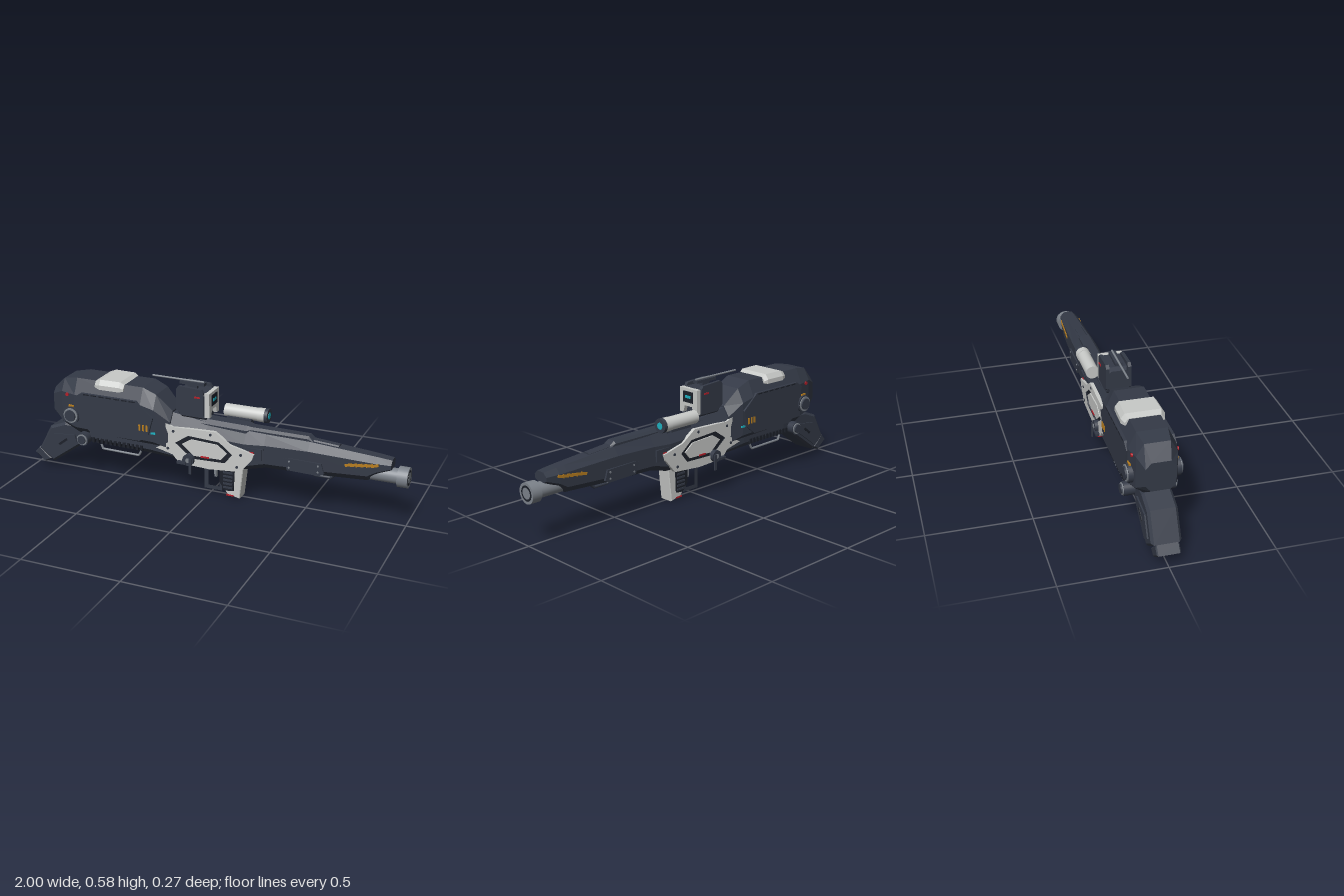
import * as THREE from 'three';

const mat = (name, color) => Object.assign(new THREE.MeshStandardMaterial({ color }), { name });

export function createModel() {
  const dark = mat('dark slate', 0x343a47), black = mat('near black', 0x1d212a);
  const white = mat('pale grey', 0xc8cac8), grey = mat('steel grey', 0x7c828a);
  const red = mat('red', 0xb3202a), orange = mat('amber', 0xb97f20), cyan = mat('cyan', 0x1fb2c2);
  const root = new THREE.Group();
  root.name = 'longRifle';

  const add = (name, geo, m, x = 0, y = 0, z = 0) => {
    const mesh = new THREE.Mesh(geo, m);
    mesh.name = name;
    mesh.position.set(x, y, z);
    root.add(mesh);
    return mesh;
  };
  const box = (name, m, x, y, z, w, h, d) => add(name, new THREE.BoxGeometry(w, h, d), m, x, y, z);
  const both = fn => [1, -1].forEach(fn);

  // Chamfered hull along x; section: [x, top, bottom, half width, chamfer width, top and bottom chamfer height]
  const loft = (name, m, sections) => {
    const rings = sections.map(([x, t, b, h, c, vt, vb]) => {
      const half = [[h - c, t], [h, t - vt], [h, b + vb], [h - c, b]];
      return [...half, ...half.map(([z, y]) => [-z, y]).reverse()].map(([z, y]) => [x, y, z]);
    });
    const pos = [], tri = (...p) => p.forEach(v => pos.push(...v));
    for (let i = 0; i < rings.length - 1; i++) {
      for (let j = 0; j < 8; j++) {
        const k = (j + 1) % 8, a = rings[i], b = rings[i + 1];
        tri(a[j], a[k], b[k]);
        tri(a[j], b[k], b[j]);
      }
    }
    const first = rings[0], last = rings[rings.length - 1];
    for (let j = 1; j < 7; j++) {
      tri(last[0], last[j], last[j + 1]);
      tri(first[0], first[j + 1], first[j]);
    }
    const g = new THREE.BufferGeometry();
    g.setAttribute('position', new THREE.Float32BufferAttribute(pos, 3));
    g.computeVertexNormals();
    return add(name, g, m);
  };

  // Flat outline extruded along z, with an optional hole and bevel
  const outline = (pts, depth, hole, bevel = 0) => {
    const shape = new THREE.Shape(pts.map(p => new THREE.Vector2(...p)));
    if (hole) shape.holes.push(new THREE.Path(hole.map(p => new THREE.Vector2(...p))));
    return new THREE.ExtrudeGeometry(shape, {
      depth, bevelEnabled: bevel > 0, bevelSize: bevel, bevelThickness: bevel, bevelOffset: -bevel, bevelSegments: 1,
    });
  };
  const slab = (name, m, pts, half, hole, bevel = 0) =>
    add(name, outline(pts, 2 * (half - bevel), hole, bevel), m, 0, 0, bevel - half);
  const sidePlates = (name, m, pts, z0, depth, hole) =>
    both(s => add(name, outline(pts, depth, hole), m, 0, 0, s > 0 ? z0 : -z0 - depth));
  const sideBox = (name, m, x, y, z, w, h, d) => both(s => box(name, m, x, y, s * z, w, h, d));
  const barrel = (name, m, x0, x1, r, y, z = 0, r2 = r) => {
    const g = new THREE.CylinderGeometry(r2, r, x1 - x0, 32).rotateZ(-Math.PI / 2);
    return add(name, g, m, (x0 + x1) / 2, y, z);
  };
  const sideDisc = (name, m, x, y, z0, z1, r) => both(s =>
    add(name, new THREE.CylinderGeometry(r, r, z1 - z0, 28).rotateX(Math.PI / 2), m, x, y, s * (z0 + z1) / 2));
  const bar = (name, m, pts, r) => {
    const path = new THREE.CurvePath();
    for (let i = 1; i < pts.length; i++)
      path.add(new THREE.LineCurve3(new THREE.Vector3(...pts[i - 1]), new THREE.Vector3(...pts[i])));
    add(name, new THREE.TubeGeometry(path, 40, r, 8), m);
  };

  // Rear housing, neck and long fore end
  loft('rearHousing', dark, [
    [-0.855, 0.455, 0.31, 0.07, 0.025, 0.03, 0.03], [-0.79, 0.515, 0.265, 0.095, 0.035, 0.06, 0.03],
    [-0.71, 0.53, 0.235, 0.11, 0.038, 0.08, 0.04], [-0.34, 0.53, 0.225, 0.11, 0.038, 0.08, 0.04],
    [-0.27, 0.5, 0.22, 0.105, 0.038, 0.07, 0.04], [-0.19, 0.42, 0.2, 0.082, 0.035, 0.05, 0.03],
  ]);
  loft('receiver', dark, [
    [-0.24, 0.42, 0.19, 0.08, 0.035, 0.06, 0.03], [0, 0.385, 0.165, 0.078, 0.035, 0.06, 0.03],
    [0.2, 0.375, 0.17, 0.075, 0.035, 0.06, 0.03], [0.3, 0.37, 0.195, 0.066, 0.03, 0.05, 0.03],
  ]);
  loft('foreEnd', dark, [
    [0.28, 0.37, 0.195, 0.066, 0.03, 0.05, 0.03], [0.52, 0.365, 0.2, 0.06, 0.028, 0.04, 0.03],
    [0.81, 0.343, 0.215, 0.051, 0.025, 0.028, 0.03], [0.85, 0.34, 0.25, 0.05, 0.025, 0.026, 0.02],
    [0.92, 0.333, 0.285, 0.042, 0.02, 0.02, 0.01],
  ]);
  loft('lowerHousing', dark, [
    [-0.68, 0.26, 0.2, 0.08, 0.02, 0.02, 0.03], [-0.6, 0.27, 0.187, 0.09, 0.03, 0.02, 0.03],
    [-0.3, 0.27, 0.18, 0.088, 0.03, 0.02, 0.03], [-0.1, 0.25, 0.165, 0.075, 0.025, 0.02, 0.02],
  ]);
  loft('topRidge', dark, [
    [-0.05, 0.4, 0.35, 0.05, 0.02, 0.02, 0.01], [0.2, 0.395, 0.35, 0.048, 0.02, 0.02, 0.01],
    [0.22, 0.39, 0.35, 0.035, 0.012, 0.012, 0.01], [0.51, 0.388, 0.35, 0.032, 0.012, 0.012, 0.01],
    [0.54, 0.365, 0.345, 0.03, 0.012, 0.005, 0.01],
  ]);
  loft('foreRidge', dark, [
    [0.53, 0.372, 0.34, 0.022, 0.006, 0.006, 0.01], [0.66, 0.362, 0.33, 0.02, 0.006, 0.006, 0.01],
  ]);
  loft('topCover', white, [
    [-0.6, 0.532, 0.495, 0.092, 0.015, 0.02, 0.005], [-0.57, 0.543, 0.49, 0.103, 0.018, 0.025, 0.005],
    [-0.46, 0.543, 0.49, 0.1, 0.018, 0.025, 0.005], [-0.44, 0.53, 0.495, 0.092, 0.015, 0.02, 0.005],
  ]);

  // Rear side panels and their markings
  sidePlates('sidePanel', dark, [[-0.71, 0.44], [-0.67, 0.467], [-0.36, 0.467], [-0.27, 0.39], [-0.295, 0.3],
    [-0.345, 0.26], [-0.62, 0.26], [-0.68, 0.31]], 0.1, 0.016);
  for (let i = 0; i < 7; i++) sideBox('panelSlot', black, -0.64 + i * 0.043, 0.462, 0.114, 0.03, 0.006, 0.008);
  for (let i = 0; i < 3; i++) sideBox('amberBar', orange, -0.342 + i * 0.02, 0.333, 0.116, 0.01, 0.032, 0.006);
  for (let i = 0; i < 12; i++) sideBox('ventSlot', black, -0.62 + i * 0.025, 0.212, 0.088, 0.013, 0.026, 0.014);
  sideBox('amberMark', orange, -0.73, 0.387, 0.109, 0.03, 0.012, 0.009);
  sideDisc('redLamp', red, -0.755, 0.445, 0.09, 0.108, 0.009);
  sideBox('cyanLamp', cyan, -0.272, 0.308, 0.106, 0.025, 0.009, 0.008);

  // Pivot discs joining the folding stock
  for (const [x, y, r] of [[-0.73, 0.34, 0.046], [-0.67, 0.216, 0.034]]) {
    sideDisc('pivotHub', dark, x, y, 0.07, 0.121, r);
    sideDisc('pivotRing', grey, x, y, 0.12, 0.126, r * 0.85);
    sideDisc('pivotCap', dark, x, y, 0.12, 0.133, r * 0.65);
  }

  // Angled stock
  slab('stock', dark, [[-0.89, 0.235], [-0.962, 0.1], [-0.88, 0.038], [-0.68, 0.18], [-0.66, 0.24], [-0.71, 0.27],
    [-0.8, 0.27]], 0.07, null, 0.012);
  slab('stockFoot', dark, [[-1, 0.068], [-0.968, 0.105], [-0.9, 0.045], [-0.94, 0.022]], 0.055, null, 0.006);
  sidePlates('stockPlate', dark, [[-0.865, 0.2], [-0.915, 0.105], [-0.87, 0.075], [-0.73, 0.175], [-0.74, 0.215]], 0.065, 0.012);
  both(s => { box('stockSlot', black, -0.81, 0.165, s * 0.076, 0.06, 0.012, 0.006).rotation.z = 0.65; });

  // Pale side frame with inset core
  sidePlates('sideFrame', white, [[-0.22, 0.37], [-0.17, 0.352], [0.053, 0.36], [0.134, 0.305], [0.257, 0.275],
    [0.246, 0.243], [0.187, 0.172], [0.02, 0.158], [-0.14, 0.165], [-0.175, 0.205], [-0.267, 0.227], [-0.2, 0.265],
    [-0.2, 0.315]], 0.07, 0.018,
  [[-0.16, 0.27], [-0.09, 0.318], [0.075, 0.31], [0.145, 0.255], [0.105, 0.205], [-0.07, 0.2]]);
  sidePlates('frameRecess', black, [[-0.165, 0.27], [-0.09, 0.32], [0.08, 0.312], [0.15, 0.255], [0.105, 0.2], [-0.07, 0.195]], 0.07, 0.01);
  sidePlates('framePlate', white, [[-0.125, 0.268], [-0.075, 0.3], [0.065, 0.293], [0.115, 0.254], [0.085, 0.218], [-0.06, 0.215]], 0.07, 0.016);
  sideBox('redStripe', red, 0.0, 0.218, 0.087, 0.045, 0.008, 0.006);
  for (const [x, y] of [[-0.17, 0.33], [0.03, 0.342], [0.19, 0.262], [0.17, 0.195], [-0.2, 0.235]])
    sideDisc('frameBolt', dark, x, y, 0.08, 0.091, 0.007);
  sideBox('foreClamp', dark, 0.25, 0.272, 0.066, 0.085, 0.06, 0.02);
  sideBox('redMark', red, 0.242, 0.274, 0.077, 0.022, 0.018, 0.005);

  // Side levers
  sideDisc('leverHub', dark, -0.085, 0.193, 0.07, 0.105, 0.03);
  sideDisc('leverCap', grey, -0.085, 0.193, 0.1, 0.108, 0.012);
  sideBox('leverArm', dark, -0.07, 0.165, 0.11, 0.014, 0.08, 0.007);
  sideBox('leverFoot', dark, -0.12, 0.175, 0.1, 0.05, 0.012, 0.02);

  // Front grip, guard and trigger
  slab('grip', white, [[0.055, 0.18], [0.185, 0.18], [0.165, 0], [0.1, 0.015], [0.06, 0.07]], 0.038, null, 0.004);
  sidePlates('gripPanel', black, [[0.06, 0.15], [0.14, 0.155], [0.135, 0.04], [0.09, 0.035], [0.06, 0.075]], 0.03, 0.012);
  for (let i = 0; i < 5; i++) sideBox('gripRib', dark, 0.105, 0.055 + i * 0.02, 0.043, 0.05, 0.009, 0.008);
  box('gripMark', red, 0.115, 0.012, 0, 0.04, 0.008, 0.078);
  slab('guard', dark, [[-0.03, 0.17], [0.065, 0.17], [0.065, 0.022], [-0.03, 0.022]], 0.022,
    [[-0.008, 0.15], [0.05, 0.15], [0.05, 0.042], [-0.008, 0.042]]);
  slab('trigger', grey, [[0.02, 0.17], [0.042, 0.17], [0.03, 0.12], [0.03, 0.085], [0.018, 0.085], [0.014, 0.12]], 0.008);

  // Hanging rails
  both(s => bar('lowerRail', grey, [[-0.585, 0.19, s * 0.075], [-0.575, 0.165, s * 0.075], [-0.37, 0.162, s * 0.075],
    [-0.355, 0.19, s * 0.075]], 0.006));
  bar('foreRail', dark, [[0.52, 0.21, 0], [0.54, 0.183, 0], [0.62, 0.183, 0], [0.645, 0.205, 0]], 0.007);

  // Fore end panels and slanted amber dashes
  sidePlates('forePanel', dark, [[0.4, 0.27], [0.42, 0.278], [0.59, 0.275], [0.605, 0.225], [0.58, 0.212], [0.42, 0.215]], 0.055, 0.012);
  for (const x of [0.43, 0.575]) for (const y of [0.23, 0.262]) sideDisc('panelBolt', grey, x, y, 0.06, 0.069, 0.005);
  for (let i = 0; i < 6; i++) both(s => {
    const dash = box('amberDash', orange, 0.72 + i * 0.025, 0.289 + i * 0.003, s * (0.0535 - i * 0.0007), 0.036, 0.013, 0.007);
    dash.rotation.set(0, s * 0.031, 0.3);
  });

  // Muzzle
  barrel('innerBarrel', grey, 0.78, 0.96, 0.037, 0.25);
  barrel('muzzle', grey, 0.95, 1, 0.05, 0.25);
  barrel('muzzleRecess', black, 0.99, 1.0005, 0.037, 0.25);
  barrel('muzzleCore', grey, 0.99, 1.001, 0.027, 0.25);

  // Sight block with screen
  loft('sightBlock', dark, [
    [-0.165, 0.53, 0.42, 0.05, 0.012, 0.015, 0.02], [-0.14, 0.54, 0.4, 0.058, 0.012, 0.015, 0.01],
    [-0.01, 0.54, 0.4, 0.058, 0.012, 0.015, 0.01],
  ]);
  box('sightMount', dark, -0.08, 0.4, 0, 0.13, 0.06, 0.07);
  sidePlates('sightCheek', dark, [[-0.165, 0.44], [-0.165, 0.545], [-0.15, 0.562], [-0.03, 0.555], [-0.02, 0.54], [-0.02, 0.42], [-0.14, 0.42]], 0.045, 0.017);
  const frame = outline([[-0.06, 0.415], [-0.035, 0.415], [-0.025, 0.45], [0.025, 0.45], [0.035, 0.415], [0.06, 0.415],
    [0.06, 0.54], [-0.06, 0.54]], 0.024).rotateY(Math.PI / 2);
  add('sightFrame', frame, white, -0.012);
  box('screen', black, 0.012, 0.497, 0, 0.006, 0.056, 0.068);
  box('screenGlow', cyan, 0.014, 0.498, 0, 0.006, 0.014, 0.036);
  sideBox('sightMark', red, -0.05, 0.515, 0.063, 0.03, 0.008, 0.005);
  box('topSight', dark, -0.1, 0.565, 0, 0.13, 0.014, 0.034);
  box('topSightFoot', dark, -0.1, 0.55, 0, 0.05, 0.03, 0.02);
  barrel('antenna', grey, -0.32, -0.04, 0.005, 0.575);

  // Offset side scope
  barrel('scopeTube', white, 0.045, 0.225, 0.033, 0.42, -0.076);
  barrel('scopeBand', white, 0.22, 0.258, 0.035, 0.42, -0.076);
  barrel('scopeCap', dark, 0.255, 0.273, 0.036, 0.42, -0.076);
  barrel('scopeLens', cyan, 0.265, 0.2745, 0.017, 0.42, -0.076);
  box('scopeMount', dark, 0.13, 0.385, -0.052, 0.13, 0.03, 0.04);

  return root;
}
